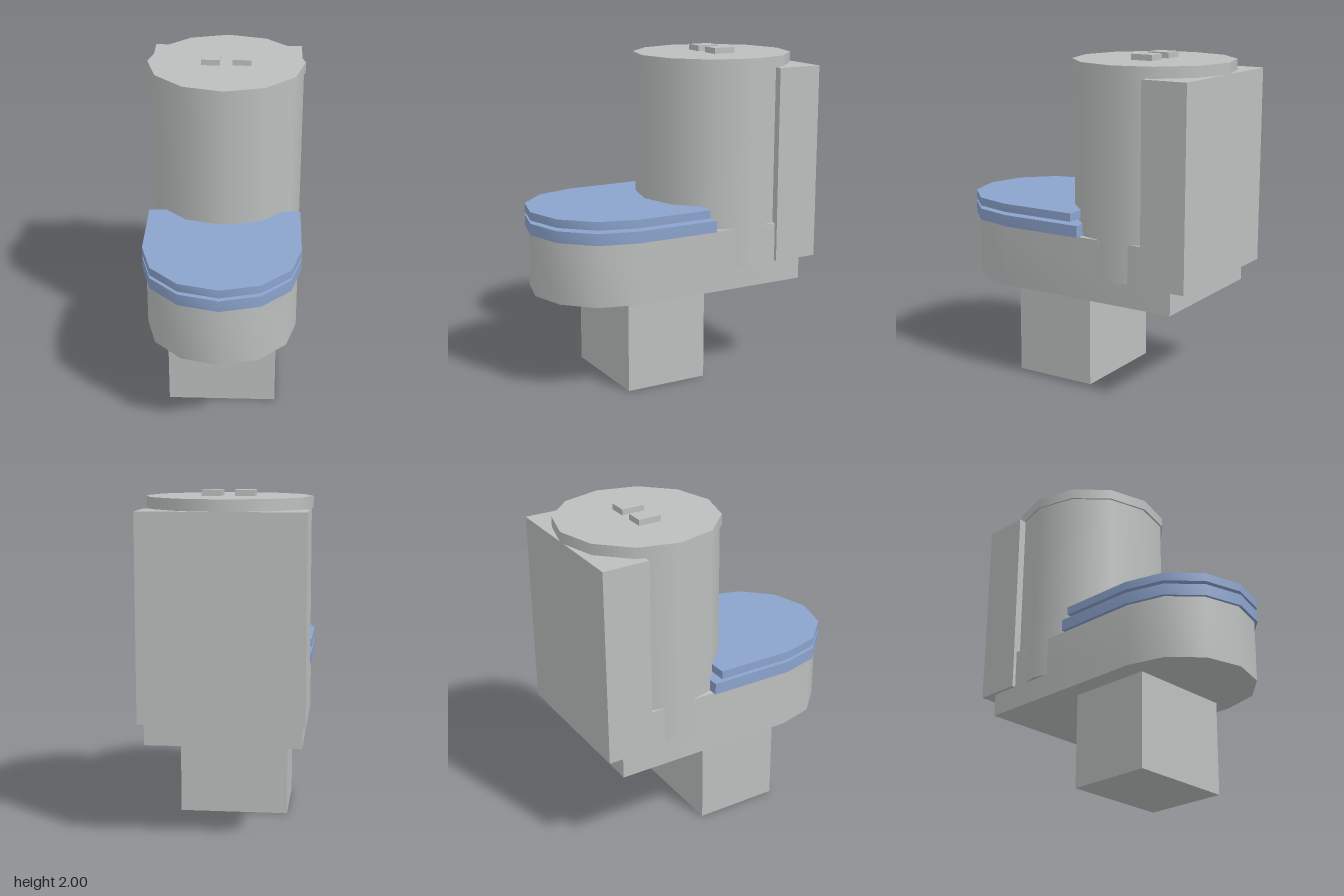
import * as THREE from 'three';
import { toCreasedNormals } from 'three/addons/utils/BufferGeometryUtils.js';

export function createModel() {
  const group = new THREE.Group();
  const ceramic = new THREE.MeshStandardMaterial({ color: 0xbbbfbd });
  ceramic.name = 'grey ceramic';
  const plastic = new THREE.MeshStandardMaterial({ color: 0x8ba3cc });
  plastic.name = 'blue plastic';

  function add(name, geometry, material) {
    const mesh = new THREE.Mesh(geometry, material);
    mesh.name = name;
    group.add(mesh);
    return mesh;
  }

  // Box and twelve-sided cylinder given by their limits
  function box(name, x0, x1, y0, y1, z0, z1) {
    add(name, new THREE.BoxGeometry(x1 - x0, y1 - y0, z1 - z0), ceramic)
      .position.set((x0 + x1) / 2, (y0 + y1) / 2, (z0 + z1) / 2);
  }
  function drum(name, radius, y0, y1, z) {
    add(name, new THREE.CylinderGeometry(radius, radius, y1 - y0, 12), ceramic)
      .position.set(0, (y0 + y1) / 2, z);
  }

  // Slab with a straight back and a half-round front of six facets
  function roundedSlab(name, radius, back, centre, y0, y1, material) {
    const points = [new THREE.Vector2(-radius, -back), new THREE.Vector2(-radius, -centre)];
    for (let i = 1; i <= 6; i++) {
      const a = Math.PI + (i * Math.PI) / 6;
      points.push(new THREE.Vector2(radius * Math.cos(a), -centre + radius * Math.sin(a)));
    }
    points.push(new THREE.Vector2(radius, -back));
    const geometry = new THREE.ExtrudeGeometry(new THREE.Shape(points), {
      depth: y1 - y0, bevelEnabled: false,
    });
    geometry.rotateX(-Math.PI / 2).translate(0, y0, 0);
    add(name, toCreasedNormals(geometry, 0.6), material);
  }

  // Base and bowl
  box('pedestal', -0.33, 0.33, 0, 0.575, -0.135, 0.385);
  roundedSlab('bowl', 0.448, -0.75, 0.388, 0.575, 0.95, ceramic);

  // Seat, inner disc and lid
  roundedSlab('seat', 0.47, -0.135, 0.385, 0.95, 1.02, plastic);
  drum('bowlInsert', 0.302, 0.9, 1.032, 0.385);
  roundedSlab('seatLid', 0.47, -0.09, 0.385, 1.04, 1.09, plastic);

  // Cistern with its back housing, cover and two flush buttons
  drum('cistern', 0.473, 0.715, 1.9, -0.375);
  box('cisternBack', -0.47, 0.47, 0.715, 1.898, -0.848, -0.565);
  drum('cisternCover', 0.483, 1.9, 1.965, -0.373);
  for (const side of [-1, 1]) {
    const x = side * 0.095;
    box(side < 0 ? 'rightButton' : 'leftButton', x - 0.057, x + 0.057, 1.965, 2, -0.445, -0.305);
  }
  return group;
}
